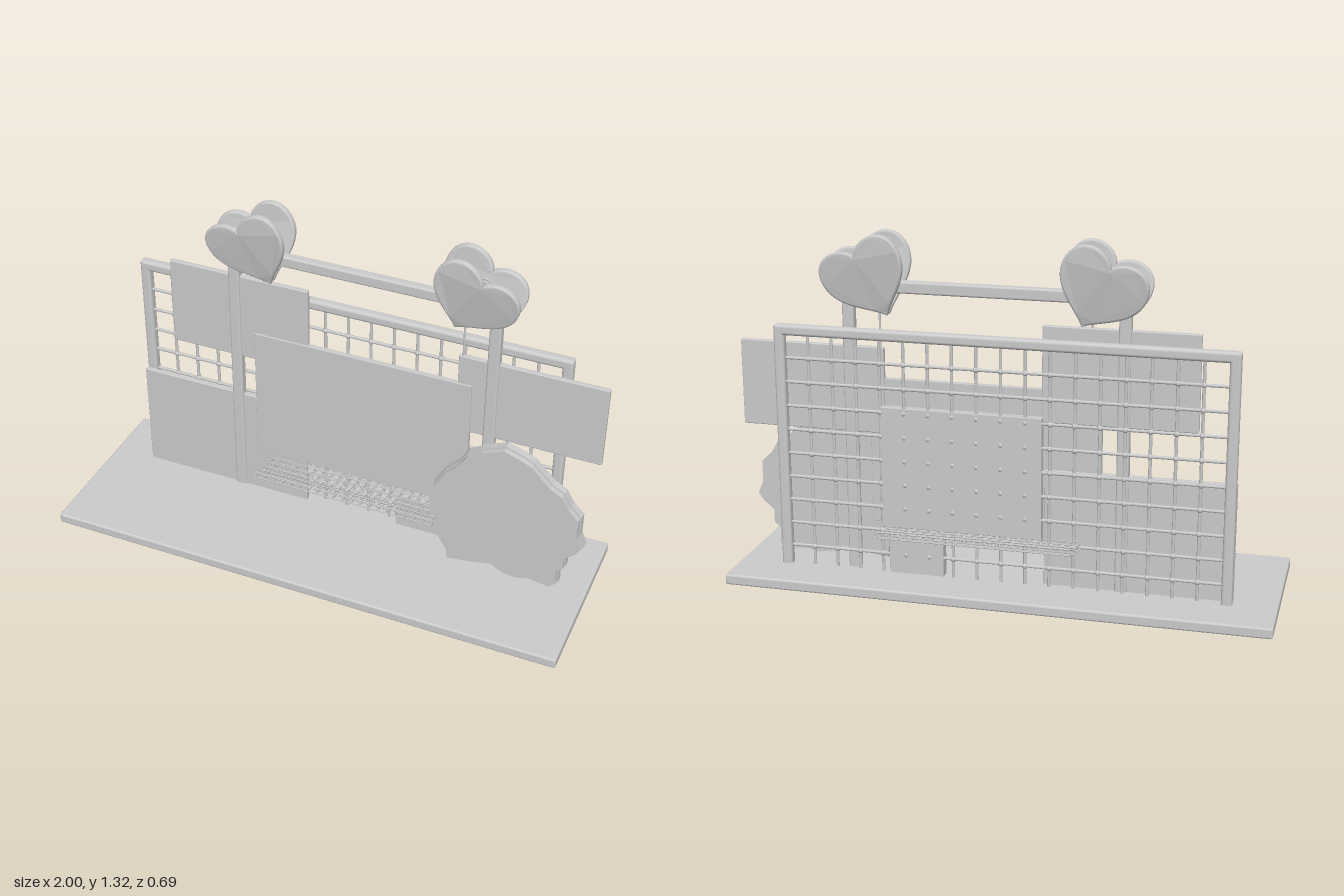
import * as THREE from 'three';
import { mergeGeometries } from 'three/addons/utils/BufferGeometryUtils.js';
import { RoundedBoxGeometry } from 'three/addons/geometries/RoundedBoxGeometry.js';

const grey = new THREE.MeshStandardMaterial({ color: 0xcccccc });

function add(parent, name, geometry) {
  const mesh = new THREE.Mesh(geometry, grey);
  mesh.name = name;
  parent.add(mesh);
  return mesh;
}

// Rounded box given by its extents on each axis
function box(parent, name, [x0, x1], [y0, y1], [z0, z1], radius = 0.004) {
  const g = new RoundedBoxGeometry(x1 - x0, y1 - y0, z1 - z0, 3, radius);
  g.translate((x0 + x1) / 2, (y0 + y1) / 2, (z0 + z1) / 2);
  return add(parent, name, g);
}

// Straight round wire between two points
function wire(a, b, radius, sides = 8) {
  const p = new THREE.Vector3(...a), d = new THREE.Vector3(...b).sub(p);
  const g = new THREE.CylinderGeometry(radius, radius, d.length(), sides);
  g.applyQuaternion(new THREE.Quaternion().setFromUnitVectors(
    new THREE.Vector3(0, 1, 0), d.clone().normalize()));
  return g.translate(p.x + d.x / 2, p.y + d.y / 2, p.z + d.z / 2);
}

// Framed wire grid whose lower rail passes through the base
function makeGrid() {
  const grid = new THREE.Group();
  grid.name = 'wireGrid';
  const depth = [-0.178, -0.14], z = -0.158;
  for (const s of [-1, 1])
    box(grid, 'frameUpright', [s * 0.82 - 0.02, s * 0.82 + 0.02], [0, 0.975], depth, 0.012);
  for (const y of [0, 0.935])
    box(grid, 'frameRail', [-0.84, 0.84], [y, y + 0.04], depth, 0.012);
  const wires = [], joints = [];
  const rows = Array.from({ length: 9 }, (_, i) => 0.13 + i * 0.09);
  for (const y of rows) wires.push(wire([-0.82, y, z], [0.82, y, z], 0.006));
  for (let i = -8; i <= 8; i++) {
    const x = i * 0.0893;
    wires.push(wire([x, 0.02, z], [x, 0.955, z], 0.006));
    for (const y of rows) joints.push(new THREE.SphereGeometry(0.011, 10, 8).translate(x, y, z));
  }
  add(grid, 'gridWires', mergeGeometries(wires));
  add(grid, 'gridJoints', mergeGeometries(joints));
  return grid;
}

// Two-layer curved wire shelf
function makeShelf() {
  const nx = 20, nz = 10, r = 0.0025, parts = [];
  const xAt = (i) => -0.29 + 0.71 * i / nx;
  const point = (x, j, layer) => {
    const u = (j / nz) * 2 - 1, lift = layer * 0.019;
    return [x, 0.215 + 0.044 * u * u + lift, -0.145 + u * (0.198 - lift * 0.4)];
  };
  for (const layer of [0, 1]) {
    for (let j = 0; j <= nz; j++)
      parts.push(wire(point(xAt(0), j, layer), point(xAt(nx), j, layer), r, 6));
    for (let i = 0; i <= nx; i++)
      for (let j = 0; j < nz; j++)
        parts.push(wire(point(xAt(i), j, layer), point(xAt(i), j + 1, layer), r, 6));
  }
  for (let i = 0; i <= nx; i++)
    for (let j = 0; j <= nz; j++)
      parts.push(wire(point(xAt(i), j, 0), point(xAt(i), j, 1), r, 6));
  const shelf = new THREE.Group();
  shelf.name = 'wireShelf';
  add(shelf, 'shelfWires', mergeGeometries(parts));
  return shelf;
}

// Heart plate, tilted sideways and bowed outwards; tip at the origin
function heartGeometry(tilt) {
  const s = new THREE.Shape();
  s.moveTo(0, 0);
  s.bezierCurveTo(-0.05, 0.05, -0.15, 0.09, -0.15, 0.18);
  s.bezierCurveTo(-0.15, 0.28, -0.035, 0.285, 0, 0.215);
  s.bezierCurveTo(0.035, 0.285, 0.15, 0.28, 0.15, 0.18);
  s.bezierCurveTo(0.15, 0.09, 0.05, 0.05, 0, 0);
  const g = new THREE.ExtrudeGeometry(s, {
    depth: 0.012, curveSegments: 16, bevelThickness: 0.006, bevelSize: 0.008, bevelSegments: 3,
  });
  g.rotateZ(tilt);
  const p = g.attributes.position;
  for (let i = 0; i < p.count; i++) {
    const t = THREE.MathUtils.clamp(p.getY(i) / 0.27, 0, 1);
    p.setZ(i, p.getZ(i) + 0.045 * (1 - (1 - t) ** 2));
  }
  g.computeVertexNormals();
  return g;
}

// Spring clip made of two facing hearts; side mirrors it
function makeClip(side) {
  const clip = new THREE.Group();
  clip.name = 'heartClip';
  const tipX = side * 0.355;
  for (const face of [1, -1]) {
    const heart = add(clip, face > 0 ? 'frontHeart' : 'backHeart',
      heartGeometry(-side * face * 0.46));
    heart.position.set(tipX, 1.035, face * 0.006);
    if (face < 0) heart.rotation.y = Math.PI;
  }
  const coil = [];
  for (let i = 0; i <= 64; i++) {
    const a = (i / 64) * Math.PI * 8;
    coil.push(new THREE.Vector3(
      side * 0.43 + 0.03 * Math.cos(a), 1.18 + 0.03 * Math.sin(a), -0.042 + 0.084 * i / 64));
  }
  add(clip, 'clipSpring',
    new THREE.TubeGeometry(new THREE.CatmullRomCurve3(coil), 128, 0.005, 6));
  add(clip, 'hangingWire', wire([side * 0.385, 0.88, 0.004], [side * 0.385, 1.12, 0.004], 0.004));
  clip.position.set(0.065, 0, -0.132);
  return clip;
}

// Irregular standing cutout, with a slightly smaller front layer
function makeCutout() {
  const outline = [
    [0.465, 0.07], [0.46, 0.11], [0.41, 0.19], [0.386, 0.29], [0.395, 0.39], [0.44, 0.47],
    [0.49, 0.52], [0.52, 0.57], [0.575, 0.605], [0.66, 0.64], [0.72, 0.62], [0.765, 0.6],
    [0.81, 0.555], [0.84, 0.525], [0.885, 0.5], [0.915, 0.45], [0.955, 0.41], [0.955, 0.33],
    [0.975, 0.285], [0.955, 0.255], [0.915, 0.22], [0.915, 0.17], [0.89, 0.15], [0.895, 0.09],
    [0.87, 0.068], [0.79, 0.078], [0.74, 0.066], [0.68, 0.075], [0.64, 0.1], [0.57, 0.085],
  ];
  const cutout = new THREE.Group();
  cutout.name = 'standingCutout';
  [[1, -0.054, 0.03], [0.98, -0.024, 0.022]].forEach(([k, z, depth], i) => {
    const pts = outline.map(([x, y]) =>
      new THREE.Vector2(0.67 + (x - 0.67) * k, 0.34 + (y - 0.34) * k));
    const g = new THREE.ExtrudeGeometry(new THREE.Shape(pts), { depth, bevelEnabled: false });
    add(cutout, i ? 'cutoutFront' : 'cutoutBack', g.translate(0, 0, z));
  });
  return cutout;
}

export function createModel() {
  const model = new THREE.Group();
  model.name = 'displayStand';
  box(model, 'base', [-1, 1], [0.02, 0.06], [-0.34, 0.34], 0.008);
  model.add(makeGrid());

  // Posts and crossbar
  for (const x of [-0.437, 0.563])
    box(model, 'post', [x - 0.022, x + 0.022], [0.05, 1.15], [-0.15, -0.114], 0.008);
  box(model, 'crossbar', [-0.459, 0.585], [1.106, 1.15], [-0.15, -0.114], 0.008);

  // Flat panels hung on the grid
  const panelZ = [-0.142, -0.122];
  box(model, 'upperRightPanel', [-0.7, -0.145], [0.67, 1.02], panelZ);
  box(model, 'lowerRightPanel', [-0.84, -0.155], [0.055, 0.495], panelZ);
  box(model, 'upperLeftPanel', [0.435, 0.98], [0.585, 0.905], panelZ);
  box(model, 'centrePanel', [-0.36, 0.49], [0.245, 0.79], [-0.136, -0.116], 0.002);
  box(model, 'centrePanelBacking', [-0.15, 0.445], [0.235, 0.69], [-0.165, -0.134], 0.002);
  box(model, 'smallPanel', [0.215, 0.42], [0.055, 0.2], [-0.165, -0.125], 0.002);

  model.add(makeShelf(), makeClip(-1), makeClip(1), makeCutout());
  return model;
}
